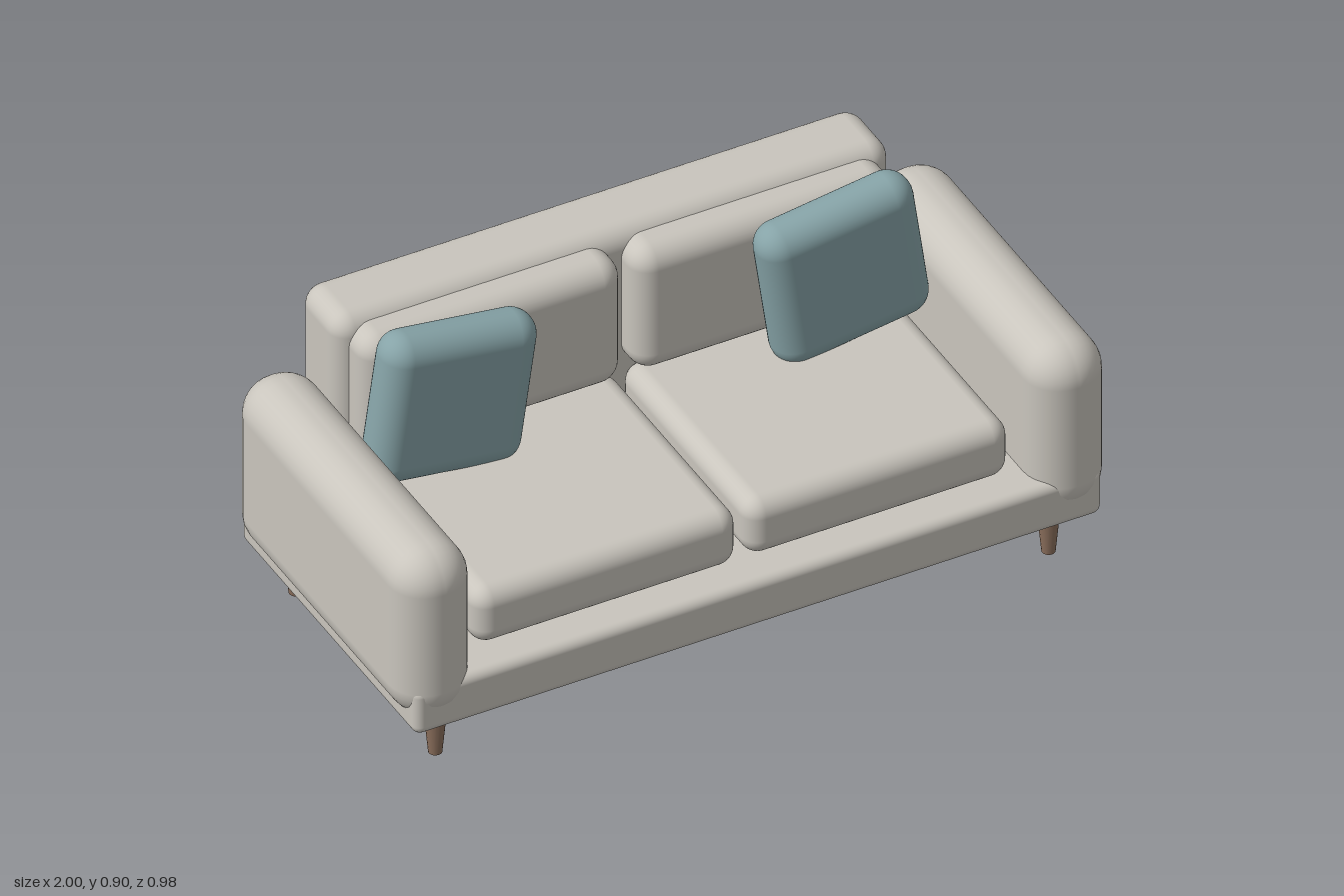
import * as THREE from 'three';
import { RoundedBoxGeometry } from 'three/addons/geometries/RoundedBoxGeometry.js';

export function createModel() {
  const sofa = new THREE.Group();
  sofa.name = 'sofa';

  const material = (name, color) => {
    const m = new THREE.MeshStandardMaterial({ color });
    m.name = name;
    return m;
  };
  const fabric = material('warm grey fabric', 0xc9c5bd);
  const teal = material('dusty teal fabric', 0x86a3a7);
  const wood = material('brown wood', 0x8b6f5c);

  const add = (name, geometry, mat, x, y, z) => {
    const mesh = new THREE.Mesh(geometry, mat);
    mesh.name = name;
    mesh.position.set(x, y, z);
    sofa.add(mesh);
    return mesh;
  };

  // Rounded block given by its extents on each axis
  const block = (name, [x0, x1], [y0, y1], [z0, z1], radius, mat = fabric) =>
    add(name, new RoundedBoxGeometry(x1 - x0, y1 - y0, z1 - z0, 4, radius), mat,
      (x0 + x1) / 2, (y0 + y1) / 2, (z0 + z1) / 2);

  // Frame
  block('base', [-0.97, 0.97], [0.14, 0.28], [-0.445, 0.478], 0.025);
  block('backrest', [-0.785, 0.785], [0.275, 0.853], [-0.49, -0.28], 0.055);

  for (const side of [-1, 1]) {
    const label = side > 0 ? 'left' : 'right';
    const span = (a, b) => (side > 0 ? [a, b] : [-b, -a]);

    block(label + 'Arm', span(0.79, 1), [0.163, 0.67], [-0.456, 0.49], 0.1);
    block(label + 'SeatCushion', span(0.012, 0.755), [0.28, 0.45], [-0.29, 0.4], 0.05);
    block(label + 'BackCushion', span(0.016, 0.75), [0.45, 0.83], [-0.35, -0.193], 0.06);

    // Throw pillow leaning outward
    const pillow = add(label + 'ThrowPillow',
      new RoundedBoxGeometry(0.437, 0.437, 0.135, 5, 0.065), teal, side * 0.553, 0.658, -0.127);
    pillow.rotation.z = side * 0.14;

    // Tapered legs
    for (const [end, z] of [['Front', 0.385], ['Back', -0.35]]) {
      add(label + end + 'Leg', new THREE.CylinderGeometry(0.032, 0.018, 0.15, 16), wood,
        side * 0.865, 0.075, z);
    }
  }
  return sofa;
}
